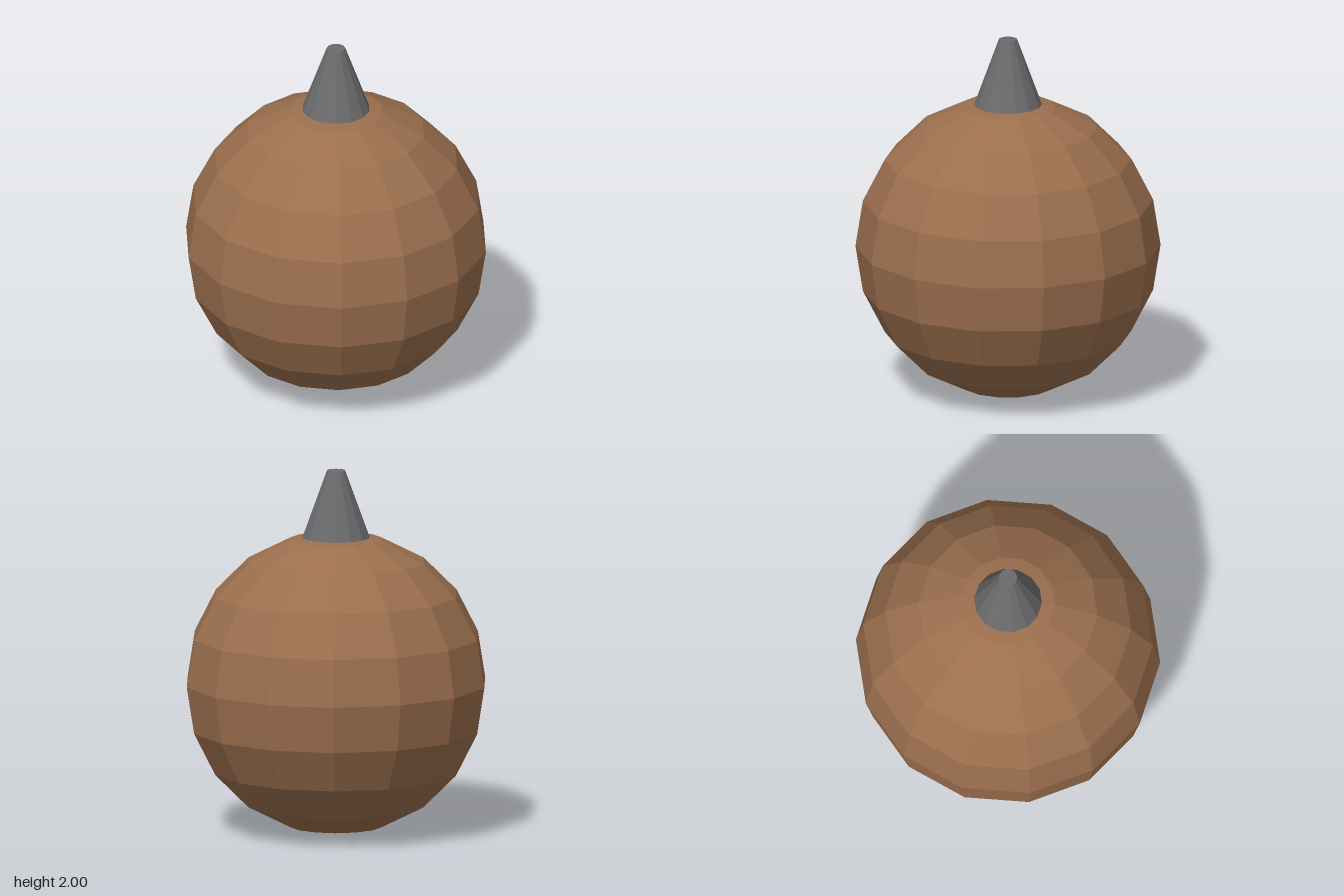
import * as THREE from 'three';

const SIDES = 14;
const RADIUS = 0.83;

function part(name, geometry, color, y) {
  const material = new THREE.MeshStandardMaterial({ color, flatShading: true });
  const mesh = new THREE.Mesh(geometry, material);
  mesh.name = name;
  mesh.position.y = y;
  return mesh;
}

export function createModel() {
  const group = new THREE.Group();
  group.name = 'roundBodyWithSpout';

  // Faceted ball, turned so that a vertex column points along z
  const ball = new THREE.SphereGeometry(RADIUS, SIDES, 10);
  ball.rotateY(Math.PI / 2);
  group.add(part('body', ball, 0x9b6f4e, RADIUS));

  // Tapered spout, its foot sunk just into the top of the ball
  const bottom = 1.63, top = 2;
  const spout = new THREE.CylinderGeometry(0.05, 0.185, top - bottom, SIDES);
  group.add(part('spout', spout, 0x6b6b6d, (bottom + top) / 2));

  return group;
}
